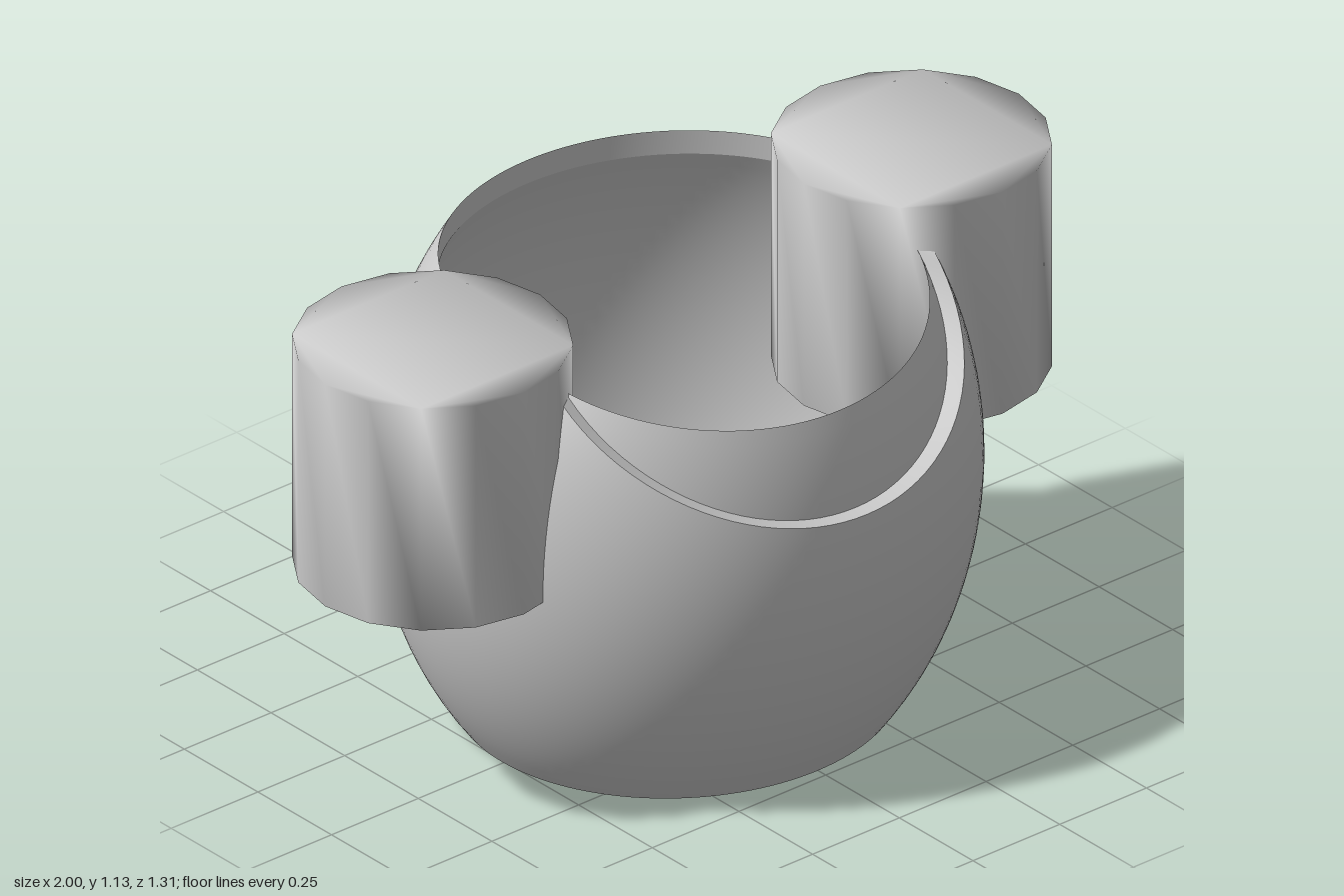
import * as THREE from 'three';
import { mergeVertices } from 'three/addons/utils/BufferGeometryUtils.js';

const MID_Y = 0.58, HALF_Y = 0.85, MID_Z = -0.005;
const SEGMENTS = 128;
const OUTER = { rx: 0.69, rz: 0.655 };
const LINER = { rx: 0.65, rz: 0.615 };

// Rim heights by direction; c is 1 at the front and -1 at the back
const outerRim = (c) => Math.min(1.115, 0.72 + 0.52 * (1 - c));
const linerRim = (c) => Math.min(1.055, 0.945 + 0.14 * (1 - c));

// Point on a bulging ellipsoid wall at angle a and height y
function wallPoint(wall, a, y) {
  const k = Math.sqrt(1 - ((y - MID_Y) / HALF_Y) ** 2);
  return [wall.rx * k * Math.sin(a), y, MID_Z + wall.rz * k * Math.cos(a)];
}

// Closed band around the y axis; pointAt(a, t) with t from 0 to 1
function band(name, rows, pointAt, material) {
  const positions = [], index = [];
  for (let j = 0; j <= rows; j++) {
    for (let i = 0; i < SEGMENTS; i++) {
      positions.push(...pointAt((i / SEGMENTS) * Math.PI * 2, j / rows));
    }
  }
  for (let j = 0; j < rows; j++) {
    for (let i = 0; i < SEGMENTS; i++) {
      const next = (i + 1) % SEGMENTS;
      const a = j * SEGMENTS + i, b = j * SEGMENTS + next;
      index.push(a, b, b + SEGMENTS, a, b + SEGMENTS, a + SEGMENTS);
    }
  }
  const geometry = new THREE.BufferGeometry();
  geometry.setAttribute('position', new THREE.Float32BufferAttribute(positions, 3));
  geometry.setIndex(index);
  geometry.computeVertexNormals();
  const mesh = new THREE.Mesh(geometry, material);
  mesh.name = name;
  return mesh;
}

// Upright drum whose shading runs smoothly over its edges
function drumGeometry(radius, height, sides) {
  const points = [];
  for (let i = 0; i < sides; i++) {
    const a = (i / sides) * Math.PI * 2;
    points.push(new THREE.Vector2(radius * Math.cos(a), radius * Math.sin(a)));
  }
  let geometry = new THREE.ExtrudeGeometry(new THREE.Shape(points), { depth: height, bevelEnabled: false });
  geometry.rotateX(-Math.PI / 2);
  geometry.deleteAttribute('normal');
  geometry.deleteAttribute('uv');
  geometry = mergeVertices(geometry, 1e-4);
  geometry.computeVertexNormals();
  return geometry;
}

export function createModel() {
  const model = new THREE.Group();
  model.name = 'pot';
  const material = new THREE.MeshStandardMaterial({ color: 0xcccccc });
  const thin = new THREE.MeshStandardMaterial({ color: 0xcccccc, side: THREE.DoubleSide });

  // Outer wall, dipping at the front
  model.add(band('outerWall', 28, (a, t) => wallPoint(OUTER, a, t * outerRim(Math.cos(a))), thin));

  // Liner, standing above the dip of the outer wall
  model.add(band('liner', 28, (a, t) => wallPoint(LINER, a, t * linerRim(Math.cos(a))), thin));

  // Ledge between the two rims
  model.add(band('rimLedge', 1, (a, t) => {
    const c = Math.cos(a);
    return t === 0
      ? wallPoint(OUTER, a, outerRim(c))
      : wallPoint(LINER, a, Math.min(outerRim(c), linerRim(c)));
  }, thin));

  // Flat ring under the walls; the bottom is open
  model.add(band('baseRing', 1, (a, t) => wallPoint(t === 0 ? LINER : OUTER, a, 0), thin));

  // Side drums
  const drum = drumGeometry(0.31, 0.56, 16);
  for (const side of [1, -1]) {
    const mesh = new THREE.Mesh(drum, material);
    mesh.name = side > 0 ? 'leftDrum' : 'rightDrum';
    mesh.position.set(side * 0.69, 0.568, -0.022);
    model.add(mesh);
  }
  return model;
}
